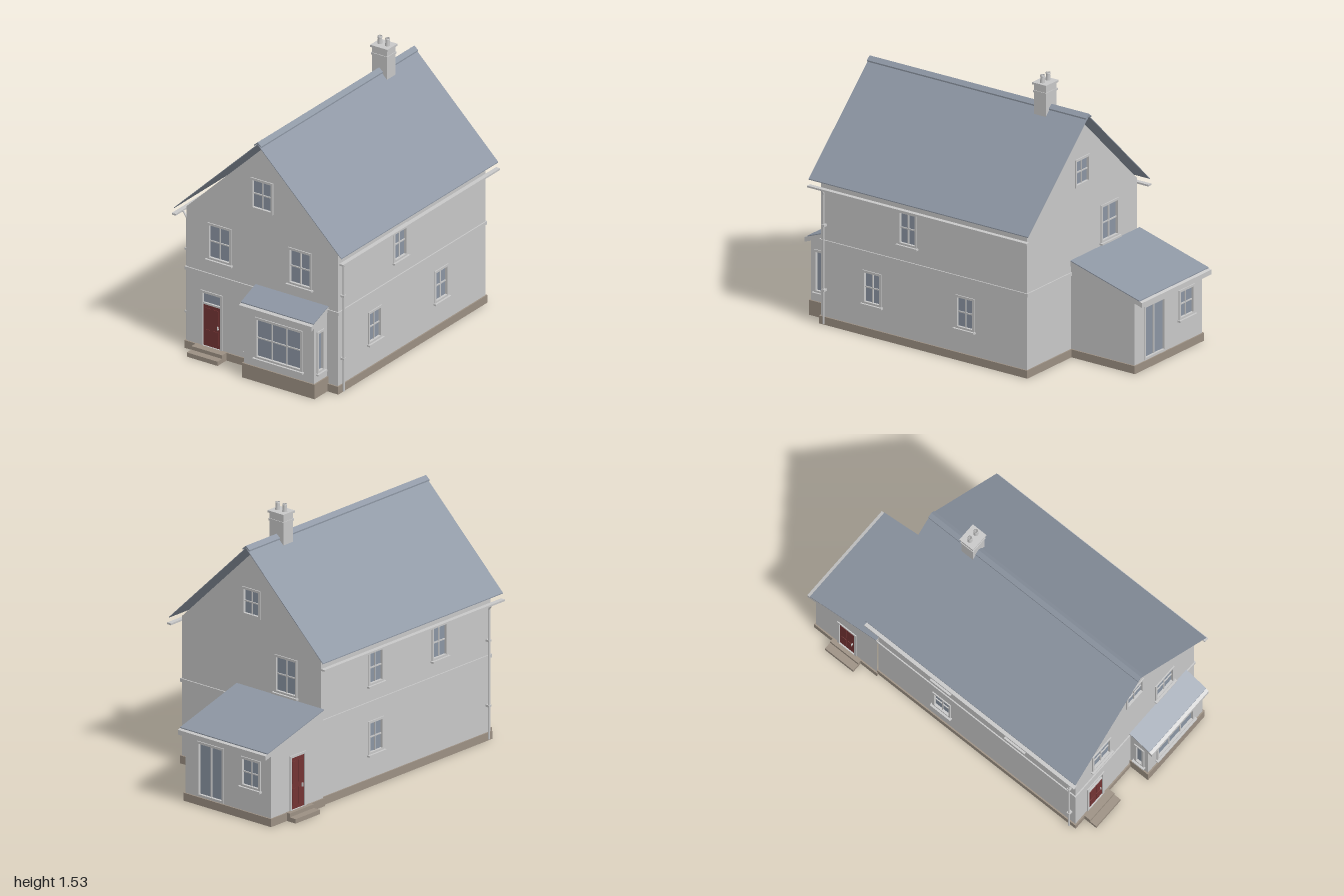
import * as THREE from 'three';

const mat = (name, color, double) => {
  const m = new THREE.MeshStandardMaterial({ color });
  m.name = name;
  if (double) m.side = THREE.DoubleSide;
  return m;
};

export function createModel() {
  const house = new THREE.Group();
  house.name = 'house';
  const render = mat('paleRender', 0xc8c8c8, true);
  const slate = mat('slate', 0x8d96a3);
  const glass = mat('glass', 0x8b95a3, true);
  const red = mat('redDoor', 0x733434);
  const stone = mat('plinthStone', 0x9c9083);

  const add = (parent, name, geo, material) => {
    const m = new THREE.Mesh(geo, material);
    m.name = name;
    parent.add(m);
    return m;
  };
  // box given by its min and max corners
  const box = (parent, name, material, x0, x1, y0, y1, z0, z1) =>
    add(parent, name, new THREE.BoxGeometry(x1 - x0, y1 - y0, z1 - z0), material)
      .position.set((x0 + x1) / 2, (y0 + y1) / 2, (z0 + z1) / 2);
  const shapeOf = (pts) => new THREE.Shape(pts.map(([x, y]) => new THREE.Vector2(x, y)));
  const rect = (x0, x1, y0, y1) => [[x0, y0], [x1, y0], [x1, y1], [x0, y1]];
  const extrude = (pts, depth, hole) => {
    const s = shapeOf(pts);
    if (hole) s.holes.push(shapeOf(hole));
    return new THREE.ExtrudeGeometry(s, { depth, bevelEnabled: false });
  };
  // round bar between two points
  const rod = (parent, name, a, b, r) => {
    const p = new THREE.Vector3(...a), q = new THREE.Vector3(...b);
    const m = add(parent, name, new THREE.CylinderGeometry(r, r, p.distanceTo(q), 10), render);
    m.position.copy(p).add(q).multiplyScalar(0.5);
    m.quaternion.setFromUnitVectors(new THREE.Vector3(0, 1, 0), q.sub(p).normalize());
  };

  // Window or door, in wall coordinates (u across, y up, z outwards)
  const F = 0.013;
  const inner = (o) => [o.u0 + F, o.u1 - F, o.y0 + (o.door ? 0 : F), o.y1 - F];
  function opening(parent, o) {
    const g = new THREE.Group();
    g.name = o.door ? 'door' : 'window';
    parent.add(g);
    const [a, b, c, d] = inner(o);
    const hole = rect(a, b, o.door ? c + 0.001 : c, d);
    add(g, 'frame', extrude(rect(o.u0, o.u1, o.y0, o.y1), 0.02, hole), render).position.z = -0.014;
    let bottom = c;
    if (o.door) {
      bottom = o.door;
      box(g, 'doorLeaf', red, a, b, c, bottom, -0.012, -0.002);
      for (const [p0, p1] of [[0.08, 0.4], [0.5, 0.92]])
        for (const k of [0.12, 0.56])
          box(g, 'doorPanel', red, a + (b - a) * k, a + (b - a) * (k + 0.32),
            c + (bottom - c) * p0, c + (bottom - c) * p1, -0.003, 0.001);
      box(g, 'handle', render, b - 0.02, b - 0.014, 0.16, 0.18, -0.002, 0.008);
      if (bottom < d - 0.01) box(g, 'transomBar', render, a, b, bottom, bottom + 0.01, -0.012, 0.002);
    } else if (o.sill) {
      box(g, 'sill', render, o.u0 - 0.008, o.u1 + 0.008, o.y0 - 0.008, o.y0 + 0.002, -0.005, 0.018);
    }
    if (bottom < d - 0.01) {
      const pane = add(g, 'glass', new THREE.PlaneGeometry(b - a, d - bottom), glass);
      pane.position.set((a + b) / 2, (bottom + d) / 2, -0.009);
    }
    const t = 0.0035;
    for (let i = 1; i < (o.cols || 1); i++) {
      const u = a + (b - a) * i / o.cols;
      box(g, 'glazingBar', render, u - t, u + t, bottom, d, -0.013, -0.003);
    }
    for (let i = 1; i < (o.rows || 1); i++) {
      const y = bottom + (d - bottom) * i / o.rows;
      box(g, 'glazingBar', render, a, b, y - t, y + t, -0.013, -0.003);
    }
  }
  const win = (u, w, y0, y1, cols = 2, rows = 2, sill = true) =>
    ({ u0: u - w / 2, u1: u + w / 2, y0, y1, cols, rows, sill });

  // Wall sheet with openings, plinth and optional string course
  const turn = { front: 0, left: Math.PI / 2, back: Math.PI, right: -Math.PI / 2 };
  function wall(name, side, dist, pts, openings, plinth = 0.045, course = false) {
    const pivot = new THREE.Group(), g = new THREE.Group();
    pivot.name = name;
    pivot.rotation.y = turn[side];
    g.position.z = dist;
    pivot.add(g);
    house.add(pivot);
    const s = shapeOf(pts);
    for (const o of openings) {
      s.holes.push(shapeOf(rect(...inner(o))));
      opening(g, o);
    }
    add(g, 'wallFace', new THREE.ShapeGeometry(s), render);
    const us = pts.map((p) => p[0]), u0 = Math.min(...us), u1 = Math.max(...us);
    box(g, 'plinth', stone, u0 - 0.007, u1 + 0.007, 0, plinth, 0, 0.008);
    if (course) box(g, 'stringCourse', render, u0 - 0.006, u1 + 0.006, 0.463, 0.482, 0, 0.007);
  }

  // Main house walls
  const X0 = -0.488, X1 = 0.498, C = 0.005, ZF = 0.84, ZB = -0.525, E = 0.835;
  const gable = (a, b, c) => [[a, 0], [b, 0], [b, E], [c, 1.31], [a, E]];
  wall('frontWall', 'front', ZF, gable(X0, X1, C), [
    win(-0.272, 0.155, 0.565, 0.78), win(0.253, 0.155, 0.565, 0.78),
    win(C, 0.145, 0.94, 1.125, 2, 2, false),
    { u0: -0.392, u1: -0.252, y0: 0.046, y1: 0.37, door: 0.29 },
  ], 0.045, true);
  wall('backWall', 'back', -ZB, gable(-X1, -X0, -C), [
    win(-C, 0.13, 0.95, 1.11, 2, 2, false), win(0.24, 0.16, 0.565, 0.78),
  ], 0.045, true);
  wall('leftWall', 'left', X1, rect(-ZF, -ZB, 0, E), [
    win(-0.265, 0.125, 0.57, 0.765), win(-0.5, 0.125, 0.18, 0.37), win(0.115, 0.125, 0.18, 0.37),
  ], 0.045, true);
  wall('rightWall', 'right', -X0, rect(ZB, ZF, 0, E), [
    win(0.43, 0.125, 0.57, 0.765), win(-0.085, 0.125, 0.57, 0.765), win(-0.085, 0.125, 0.18, 0.37),
  ], 0.045, true);

  // Front bay
  const BX0 = -0.03, BX1 = 0.427, BZ = 0.96;
  wall('bayFront', 'front', BZ, rect(BX0, BX1, 0, 0.425), [win(0.198, 0.31, 0.135, 0.377, 3, 2)], 0.085);
  const baySide = win(0.903, 0.066, 0.135, 0.38, 1, 1);
  wall('bayRight', 'right', -BX0, [[ZF, 0], [BZ, 0], [BZ, 0.425], [ZF, 0.475]], [baySide], 0.085);
  wall('bayLeft', 'left', BX1, [[-BZ, 0], [-ZF, 0], [-ZF, 0.475], [-BZ, 0.425]],
    [{ ...baySide, u0: -baySide.u1, u1: -baySide.u0 }], 0.085);

  // Rear extension
  const EX0 = -0.502, EX1 = 0.103, EZ = -0.945;
  wall('extensionBack', 'back', -EZ, rect(-EX1, -EX0, 0, 0.395), [
    win(0.075, 0.19, 0.048, 0.36, 2, 1, false), win(0.36, 0.14, 0.18, 0.35),
  ]);
  wall('extensionRight', 'right', -EX0, [[EZ, 0], [ZB, 0], [ZB, 0.525], [EZ, 0.4]],
    [{ u0: -0.795, u1: -0.665, y0: 0.046, y1: 0.355, door: 0.341 }]);
  wall('extensionLeft', 'left', EX1, [[-ZB, 0], [-EZ, 0], [-EZ, 0.4], [-ZB, 0.525]], []);

  // Lean-to roofs: pale slab with slate on top
  function leanTo(name, x0, x1, zHi, yHi, zLo, yLo) {
    const g = new THREE.Group();
    g.name = name;
    house.add(g);
    const slab = (n, pts, m) => {
      const mesh = add(g, n, extrude(pts, x1 - x0), m);
      mesh.rotation.y = -Math.PI / 2;
      mesh.position.x = x1;
    };
    const t = 0.027, k = 1 - 0.018 / Math.abs(zHi - zLo);
    const zE = zHi + (zLo - zHi) * k, yE = yHi + (yLo - yHi) * k;
    slab('roofSlab', [[zHi, yHi], [zLo, yLo], [zLo, yLo - t], [zHi, yHi - t]], render);
    slab('roofSlate', [[zHi, yHi + 0.005], [zE, yE + 0.005], [zE, yE], [zHi, yHi]], slate);
  }
  leanTo('bayRoof', -0.038, 0.435, ZF, 0.495, 0.995, 0.437);
  leanTo('extensionRoof', -0.51, 0.11, ZB, 0.545, -1, 0.415);

  // Main roof, ridge, gutters and downpipes
  const RZ0 = -0.57, RZ1 = 0.883, RL = RZ1 - RZ0;
  for (const s of [-1, 1]) {
    const x = (d) => C + s * d;
    add(house, 'roofSlope', extrude([[C, 1.355], [x(0.545), 0.83], [x(0.545), 0.825], [C, 1.35]], RL), slate)
      .position.z = RZ0;
    add(house, 'ridgeTile', extrude([[C, 1.366], [x(0.024), 1.346], [x(0.024), 1.338], [C, 1.355]], RL), slate)
      .position.z = RZ0;
    const gx = [x(0.532), x(0.558)].sort((a, b) => a - b);
    box(house, 'gutter', render, gx[0], gx[1], 0.785, 0.795, RZ0, RZ1);
    rod(house, 'downpipe', [x(0.51), 0.01, 0.81], [x(0.51), 0.752, 0.81], 0.006);
    rod(house, 'downpipeBend', [x(0.51), 0.75, 0.81], [x(0.535), 0.788, 0.81], 0.006);
    for (const y of [0.2, 0.57])
      box(house, 'pipeBracket', render, x(0.506) - 0.012, x(0.506) + 0.012, y - 0.006, y + 0.006, 0.8, 0.82);
  }

  // Chimney with two pots
  box(house, 'chimneyStack', render, -0.042, 0.056, 1.3, 1.475, -0.322, -0.243);
  box(house, 'chimneyBand', render, -0.046, 0.06, 1.43, 1.442, -0.326, -0.239);
  box(house, 'chimneyCap', render, -0.049, 0.063, 1.475, 1.487, -0.33, -0.236);
  const pot = [[0.014, 0], [0.011, 0.035], [0.013, 0.036], [0.013, 0.045], [0.007, 0.045], [0.007, 0]]
    .map(([r, y]) => new THREE.Vector2(r, y));
  for (const x of [-0.018, 0.032])
    add(house, 'chimneyPot', new THREE.LatheGeometry(pot, 12), render).position.set(x, 1.485, -0.283);

  // Door steps
  box(house, 'frontStepLower', stone, -0.422, -0.222, 0, 0.025, ZF, 0.93);
  box(house, 'frontStepUpper', stone, -0.422, -0.222, 0.025, 0.046, ZF, 0.888);
  box(house, 'sideStepLower', stone, -0.572, EX0, 0, 0.025, -0.825, -0.63);
  box(house, 'sideStepUpper', stone, -0.53, EX0, 0.025, 0.046, -0.825, -0.63);

  return house;
}
